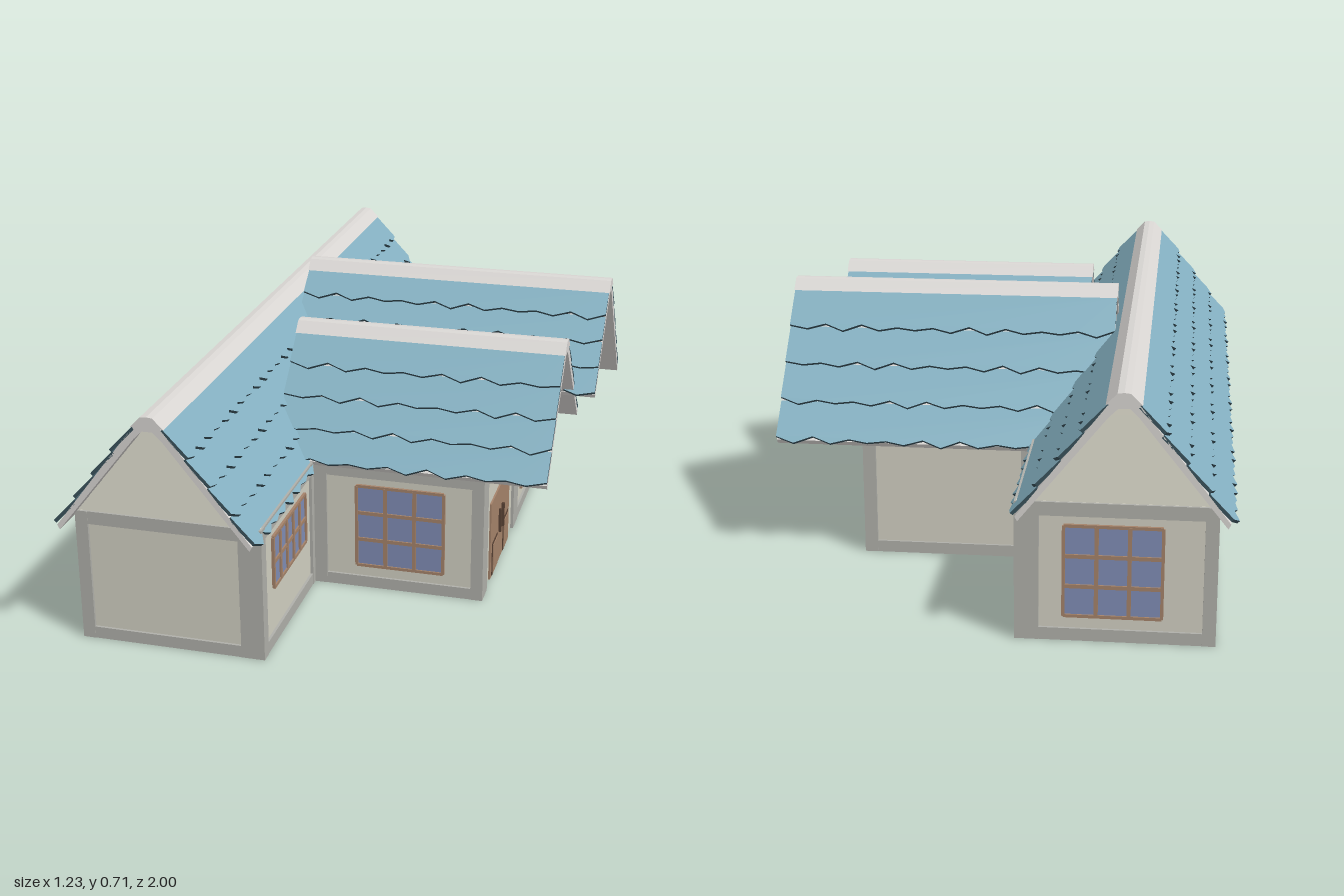
import * as THREE from 'three';

const mat = (color) => new THREE.MeshStandardMaterial({ color, flatShading: true, side: THREE.DoubleSide });
const M = {
  plaster: mat(0xd2d0c2), frame: mat(0xb0b0aa), trim: mat(0xdad7d4), tile: mat(0x84b0c1),
  tileEdge: mat(0x3a525c), glass: mat(0x808db5), wood: mat(0xa5836a), dark: mat(0x5a4335),
};

function mesh(parent, name, geometry, material) {
  const m = new THREE.Mesh(geometry, material);
  m.name = name;
  parent.add(m);
  return m;
}

// Box given by its left/right, bottom/top and depth, centred on z
function slab(parent, name, u0, u1, y0, y1, depth, material, z = 0) {
  const m = mesh(parent, name, new THREE.BoxGeometry(u1 - u0, y1 - y0, depth), material);
  m.position.set((u0 + u1) / 2, (y0 + y1) / 2, z);
  return m;
}

const polygon = (pts) => new THREE.Shape(pts.map(([x, y]) => new THREE.Vector2(x, y)));
const extrude = (pts, depth) => new THREE.ExtrudeGeometry(polygon(pts), { depth, bevelEnabled: false });

const HEIGHT = 0.36;

// Wall from its left to its right end as seen from outside, with posts and rails
function wall(parent, name, [x0, z0], [x1, z1], posts, windows = [], bottomRail = true) {
  const g = new THREE.Group();
  g.name = name;
  const len = Math.hypot(x1 - x0, z1 - z0);
  g.position.set(x0, 0, z0);
  g.rotation.y = Math.atan2(z0 - z1, x1 - x0);
  parent.add(g);
  const z = -0.016;
  slab(g, 'wallPanel', 0.005, len - 0.005, 0.002, HEIGHT, 0.016, M.plaster, z);
  slab(g, 'topRail', 0, len, HEIGHT - 0.035, HEIGHT, 0.03, M.frame, z);
  if (bottomRail) slab(g, 'bottomRail', 0, len, 0, 0.032, 0.03, M.frame, z);
  for (const [a, b] of posts) slab(g, 'post', a, b, 0, HEIGHT - 0.001, 0.032, M.frame, z);
  for (const w of windows) addWindow(g, z, ...w);
  return g;
}

function addWindow(parent, z, u0, u1, y0, y1, cols, rows) {
  const g = new THREE.Group();
  g.name = 'window';
  parent.add(g);
  slab(g, 'pane', u0, u1, y0, y1, 0.022, M.glass, z);
  const bar = 0.005;
  for (let i = 0; i <= cols; i++) {
    const u = u0 + (u1 - u0) * i / cols, w = i % cols ? bar : bar * 0.8;
    slab(g, 'verticalBar', u - w, u + w, y0, y1, 0.032, M.wood, z);
  }
  for (let j = 0; j <= rows; j++) {
    const y = y0 + (y1 - y0) * j / rows, w = j % rows ? bar : bar * 0.8;
    slab(g, 'horizontalBar', u0, u1, y - w, y + w, 0.03, M.wood, z);
  }
}

// One row of tiles: a strip with a zigzag lower edge
function tileRow(length, drop, pitch, seed) {
  const n = Math.round(length / pitch) * 2;
  const pts = [[length / 2, 0], [-length / 2, 0]];
  for (let i = 0; i <= n; i++) {
    const dip = (i % 2 ? 0.016 : 0.002) + 0.004 * Math.sin(i * 2.3 + seed);
    pts.push([-length / 2 + length * i / n, -drop - dip + 0.008]);
  }
  return extrude(pts, 0.009);
}

// Gabled roof along local z. Each side is [distance from ridge, eave height], left then right
function roof(name, top, sides, from, to, pitch) {
  const g = new THREE.Group();
  g.name = name;
  const length = to - from;
  const [[lx, ly], [rx, ry]] = sides;
  const outer = [[-lx, ly], [-0.04, top - 0.034], [-0.015, top - 0.012], [0.015, top - 0.012], [0.04, top - 0.034], [rx, ry]];
  const inner = outer.map(([x, y], i) => [x * (i % 5 ? 0.9 : 0.975), y - (i % 5 ? 0.027 : 0.012)]).reverse();
  mesh(g, 'roofSlab', extrude([...outer, ...inner], length), M.trim).position.z = from;
  // Ridge cap
  const cap = [[-0.043, top - 0.03], [-0.016, top - 0.002], [0, top], [0.016, top - 0.002], [0.043, top - 0.03], [0, top - 0.02]];
  mesh(g, 'ridgeCap', extrude(cap, length + 0.004), M.trim).position.z = from - 0.002;
  // Overlapping rows on both slopes
  sides.forEach(([dx, y], k) => {
    const s = k ? 1 : -1, rows = 4;
    const a = new THREE.Vector3(s * 0.036, top - 0.033, 0), b = new THREE.Vector3(s * dx, y, 0);
    const up = a.clone().sub(b), run = up.length();
    up.normalize();
    const normal = new THREE.Vector3(s * up.y, Math.abs(up.x), 0);
    const slope = new THREE.Group();
    slope.name = 'tiledSlope';
    slope.quaternion.setFromRotationMatrix(
      new THREE.Matrix4().makeBasis(up.clone().cross(normal), up, normal));
    slope.position.copy(a).setZ((from + to) / 2);
    g.add(slope);
    for (let r = 0; r < rows; r++) {
      const row = mesh(slope, 'tileRow', tileRow(length, run / rows + 0.004, pitch, r * 1.7 + k), [M.tile, M.tileEdge]);
      row.position.y = -run * r / rows;
      row.position.z = -0.004;
      row.rotation.x = -0.1;
    }
  });
  return g;
}

// Lapped boards filling a gable, facing local +z
function gable(top, sides, limits) {
  const g = new THREE.Group();
  g.name = 'gableBoards';
  const peak = top - 0.03, rows = 6;
  const half = (k, y) => {
    const [dx, eave] = sides[k];
    return Math.max(0.004, Math.min(limits[k], (peak - y) / (peak - eave) * (dx - 0.026) + 0.012));
  };
  for (let i = 0; i < rows; i++) {
    const y0 = HEIGHT + (peak - HEIGHT) * i / rows, y1 = HEIGHT + (peak - HEIGHT) * (i + 1) / rows;
    const pts = [[-half(0, y0), y0 - y1], [half(1, y0), y0 - y1], [half(1, y1), 0], [-half(0, y1), 0]];
    const board = mesh(g, 'board', extrude(pts, 0.01), M.plaster);
    board.position.set(0, y1, -0.02);
    board.rotation.x = -0.2;
  }
  return g;
}

export function createModel() {
  const model = new THREE.Group();
  model.name = 'house';
  const L = -0.58, R = -0.088, E = 0.38, Z = 0.95;
  const big = (u) => [u, u + 0.24, 0.065, 0.3, 3, 3];
  const small = (u) => [u, u + 0.27, 0.155, 0.295, 5, 2];

  // Long main wing
  wall(model, 'mainFrontWall', [L, Z], [R, Z], [[0, 0.033], [0.43, 0.492]]);
  wall(model, 'mainBackWall', [R, -Z], [L, -Z], [[0, 0.06], [0.459, 0.492]], [big(0.12)]);
  wall(model, 'mainLeftFrontWall', [R, Z], [R, 0.51], [[0, 0.033], [0.42, 0.44]], [small(0.1)]);
  wall(model, 'mainLeftBackWall', [R, -0.45], [R, -Z], [[0, 0.035], [0.435, 0.5]], [big(0.115)]);
  wall(model, 'mainRightWall', [L, -Z], [L, Z],
    [[0, 0.04], [0.42, 0.49], [0.91, 0.98], [1.41, 1.48], [1.86, 1.9]], [small(1.03)]);

  // Two side wings
  wall(model, 'entranceSideWall', [R, 0.51], [E, 0.51], [[0, 0.035], [0.435, 0.468]], [big(0.118)]);
  const entrance = wall(model, 'entranceWall', [E, 0.51], [E, 0], [[0, 0.065], [0.46, 0.51]], [], false);
  wall(model, 'rearWingWall', [E, 0], [E, -0.45], [[0, 0.02], [0.415, 0.45]], [big(0.1)]);
  wall(model, 'rearWingSideWall', [E, -0.45], [R, -0.45], [[0, 0.035], [0.433, 0.468]]);

  // Double door with lower panels and handles
  const door = new THREE.Group();
  door.name = 'door';
  door.position.set(0.26, 0, -0.016);
  entrance.add(door);
  slab(door, 'doorLeaves', -0.136, 0.136, 0.001, 0.23, 0.026, M.wood);
  for (const s of [-1, 1]) {
    const c = s * 0.08;
    slab(door, 'panelBorder', c - 0.037, c + 0.037, 0.004, 0.102, 0.03, M.dark);
    slab(door, 'panelFace', c - 0.031, c + 0.031, 0.01, 0.096, 0.034, M.wood);
    slab(door, 'handle', s * 0.02 - 0.004, s * 0.02 + 0.004, 0.095, 0.165, 0.042, M.dark);
  }

  // Main roof with a gable at each end
  const mainSides = [[0.255, 0.34], [0.255, 0.34]];
  const mainRoof = roof('mainRoof', 0.655, mainSides, -1, 1, 0.06);
  mainRoof.position.x = -0.35;
  model.add(mainRoof);
  for (const s of [-1, 1]) {
    const g = gable(0.655, mainSides, [0.25, 0.25]);
    g.position.z = s * Z;
    if (s < 0) g.rotation.y = Math.PI;
    mainRoof.add(g);
  }

  // Wing roofs run along x, their outer gables facing +x
  const wings = [
    ['entranceRoof', 0.67, [[0.272, 0.362], [0.272, 0.362]], -0.2, 0.545, 0.245, [0.25, 0.25], 0],
    ['rearWingRoof', 0.715, [[0.262, 0.455], [0.31, 0.335]], -0.295, 0.605, -0.187, [0.22, 0.27], 0.004],
  ];
  for (const [name, top, sides, from, to, z, limits, shift] of wings) {
    const r = roof(name, top, sides, from, to, 0.1);
    r.rotation.y = Math.PI / 2;
    r.position.z = z;
    const g = gable(top, sides, limits);
    g.position.z = E + shift;
    r.add(g);
    model.add(r);
  }
  return model;
}
